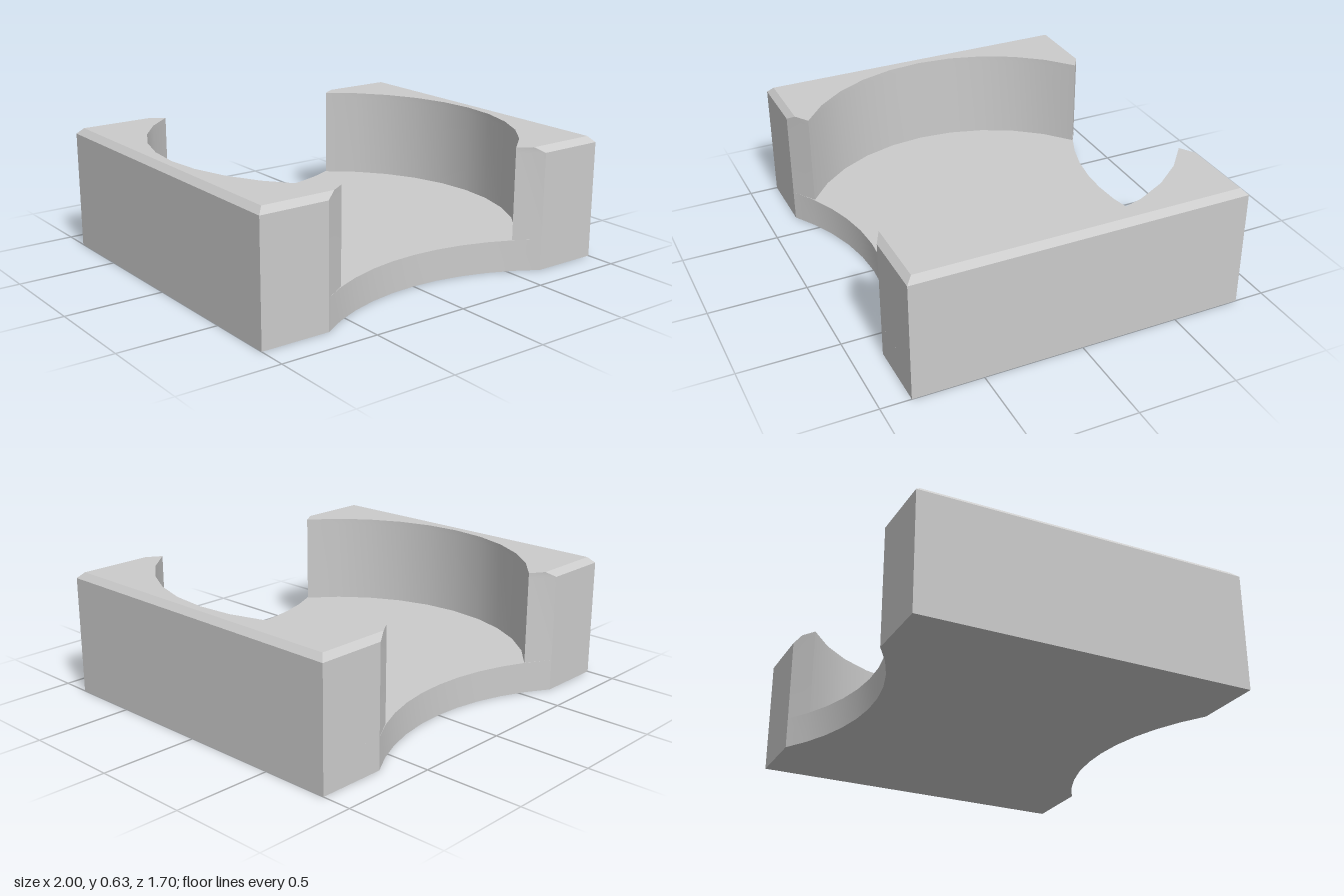
import * as THREE from 'three';
import { toCreasedNormals } from 'three/addons/utils/BufferGeometryUtils.js';

const W = 1, D = 0.85;                     // half width, half depth
const FLOOR = 0.16, EDGE = 0.6, TOP = 0.63; // heights
const BEVEL = 0.03;
const SCOOP_X = 0.65, SCOOP_R = 1.156, SCOOP_Z = 1.806; // concave front and back

const material = new THREE.MeshStandardMaterial({ color: 0xcccccc });

// Concave scoop from +x to -x on the +z side
function scoop() {
  const half = Math.asin(SCOOP_X / SCOOP_R);
  return Array.from({ length: 11 }, (_, i) => {
    const a = half * (1 - i / 5);
    return [SCOOP_R * Math.sin(a), SCOOP_Z - SCOOP_R * Math.cos(a)];
  });
}

// Round pocket edge on the +x side, from back to front
function pocketEdge() {
  const end = Math.acos(0.525 / 0.925);
  return Array.from({ length: 11 }, (_, i) => {
    const a = end * (i / 5 - 1);
    return [0.925 * Math.cos(a), 0.938 * Math.sin(a)];
  });
}

// Upright extrusion of a plan outline, with one layer of vertices per height
function extrudeUp(points, heights, adjust) {
  const shape = new THREE.Shape(points.map(([x, z]) => new THREE.Vector2(x, z)));
  const steps = heights.length - 1;
  const geo = new THREE.ExtrudeGeometry(shape, { depth: steps, steps, bevelEnabled: false });
  geo.rotateX(-Math.PI / 2);
  const p = geo.attributes.position;
  for (let i = 0; i < p.count; i++) {
    const layer = Math.round(p.getY(i));
    p.setY(i, heights[layer]);
    if (adjust && layer === steps) adjust(p, i);
  }
  geo.deleteAttribute('uv');
  return toCreasedNormals(geo, 0.4);
}

// Pull the outer top edges inward for the chamfer
function chamfer(p, i) {
  const x = p.getX(i), z = p.getZ(i);
  if (x > W - 0.001) p.setX(i, W - BEVEL);
  if (Math.abs(z) > D - 0.001) {
    p.setZ(i, Math.sign(z) * (D - BEVEL));
    if (x < SCOOP_X + 0.001) p.setX(i, x - 0.052);
  }
}

export function createModel() {
  const model = new THREE.Group();
  model.name = 'cradle';

  // Floor slab with scooped front and back
  const front = scoop();
  const back = front.map(([x, z]) => [-x, -z]);
  const outline = [[W, -D], [W, D], ...front, [-W, D], [-W, -D], ...back];
  const base = new THREE.Mesh(extrudeUp(outline, [0, FLOOR]), material);
  base.name = 'base';
  model.add(base);

  // Side walls, curved inside around the pocket
  const wallOutline = [[W, -D], [W, D], [SCOOP_X, D], ...pocketEdge().reverse(), [SCOOP_X, -D]];
  const wallGeo = extrudeUp(wallOutline, [FLOOR, EDGE, TOP], chamfer);
  ['leftWall', 'rightWall'].forEach((name, i) => {
    const wall = new THREE.Mesh(wallGeo, material);
    wall.name = name;
    wall.rotation.y = i * Math.PI;
    model.add(wall);
  });

  return model;
}
